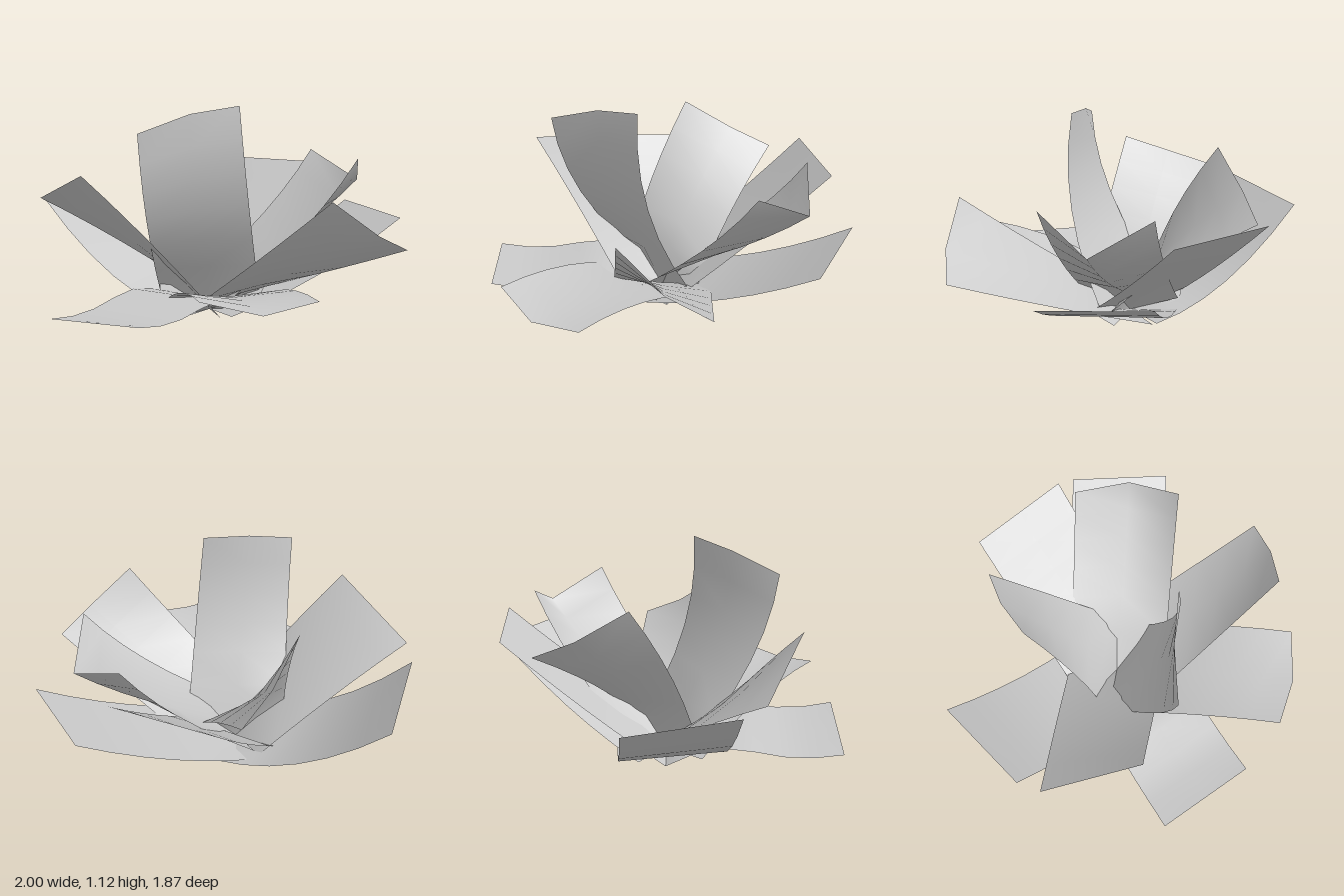
import * as THREE from 'three';

const CENTRE = new THREE.Vector3(-0.06, 0, 0.01);
const HALF_WIDTH = 0.27;
const ROWS = 6;

// A petal is a curved strip, three points wide. Its base edge runs through the
// centre, square to its heading; each side rail sweeps from there to a tip corner.
// out and drop bend the strip along its length, cup hollows it towards the tip,
// wave adds a rise and a dip.
function petal(name, heading, left, right, { out = 0, drop = 0, cup = 0, wave = 0, baseY = 0.03 }) {
  const angle = THREE.MathUtils.degToRad(heading);
  const forward = new THREE.Vector3(Math.cos(angle), 0, Math.sin(angle));
  const side = new THREE.Vector3(-forward.z, 0, forward.x);
  const up = new THREE.Vector3(0, 1, 0);

  const rail = (s, corner) => {
    const tip = new THREE.Vector3(...corner);
    const base = CENTRE.clone().addScaledVector(side, s * HALF_WIDTH).setY(baseY);
    const control = base.clone().lerp(tip, 0.5)
      .addScaledVector(forward, 2 * out).addScaledVector(up, -2 * drop);
    return new THREE.QuadraticBezierCurve3(base, control, tip);
  };
  const leftRail = rail(-1, left);
  const rightRail = rail(1, right);

  const positions = [], index = [];
  for (let i = 0; i <= ROWS; i++) {
    const t = i / ROWS;
    const ripple = wave * Math.sin(2 * Math.PI * t);
    const l = leftRail.getPoint(t).addScaledVector(up, ripple);
    const r = rightRail.getPoint(t).addScaledVector(up, ripple);
    const m = l.clone().lerp(r, 0.5)
      .addScaledVector(forward, cup * t).addScaledVector(up, -cup * t);
    if (i === 0) m.copy(CENTRE); // pinched base
    for (const p of [l, m, r]) positions.push(p.x, p.y, p.z);
    if (i === ROWS) break;
    for (const k of [i * 3, i * 3 + 1]) index.push(k, k + 1, k + 3, k + 1, k + 4, k + 3);
  }
  const geometry = new THREE.BufferGeometry();
  geometry.setAttribute('position', new THREE.Float32BufferAttribute(positions, 3));
  geometry.setIndex(index);
  geometry.computeVertexNormals();
  const mesh = new THREE.Mesh(geometry,
    new THREE.MeshStandardMaterial({ color: 0xcccccc, side: THREE.DoubleSide }));
  mesh.name = name;
  return mesh;
}

export function createModel() {
  const flower = new THREE.Group();
  flower.name = 'flower';

  // Outer ring of wide open petals
  const outer = new THREE.Group();
  outer.name = 'outerPetals';
  outer.add(
    petal('outerPetalRight', 175, [-0.91, 0.58, 0.36], [-1, 0.53, -0.18], { drop: 0.11 }),
    petal('outerPetalFrontRight', 135, [-0.37, 0.79, 0.68], [-0.84, 0.61, 0.47], { drop: -0.02 }),
    petal('outerPetalFront', 90, [0.16, 0.18, 0.93], [-0.38, 0.13, 0.92], { drop: -0.05, wave: 0.04 }),
    petal('outerPetalFrontLeft', 45, [0.82, 0.29, 0.47], [0.43, 0.32, 0.85], { drop: -0.06, cup: 0.05 }),
    petal('outerPetalLeft', 0, [1, 0.43, -0.13], [0.79, 0.71, 0.29], { drop: 0.01, cup: 0.04 }),
    petal('outerPetalBackLeft', -58, [0.3, 0.5, -0.94], [0.76, 0.48, -0.66], { drop: 0.05 }),
    petal('outerPetalBack', -90, [-0.38, 0.73, -0.8], [0.16, 0.73, -0.85], { drop: 0.02 }),
  );

  // Inner ring of upright, cupped petals
  const inner = new THREE.Group();
  inner.name = 'innerPetals';
  const baseY = 0.1;
  inner.add(
    petal('innerPetalBackRight', -130, [-0.49, 0.93, -0.16], [-0.43, 0.67, -0.64], { out: -0.05, cup: 0.03, baseY }),
    petal('innerPetalBackLeft', -50, [0.18, 0.82, -0.71], [0.62, 0.83, -0.38], { out: 0.06, cup: 0.15, baseY }),
    petal('innerPetalFront', 62, [0.21, 1.12, 0.15], [-0.1, 1, 0.58], { out: 0.1, cup: -0.025, baseY }),
  );

  flower.add(outer, inner);
  return flower;
}
